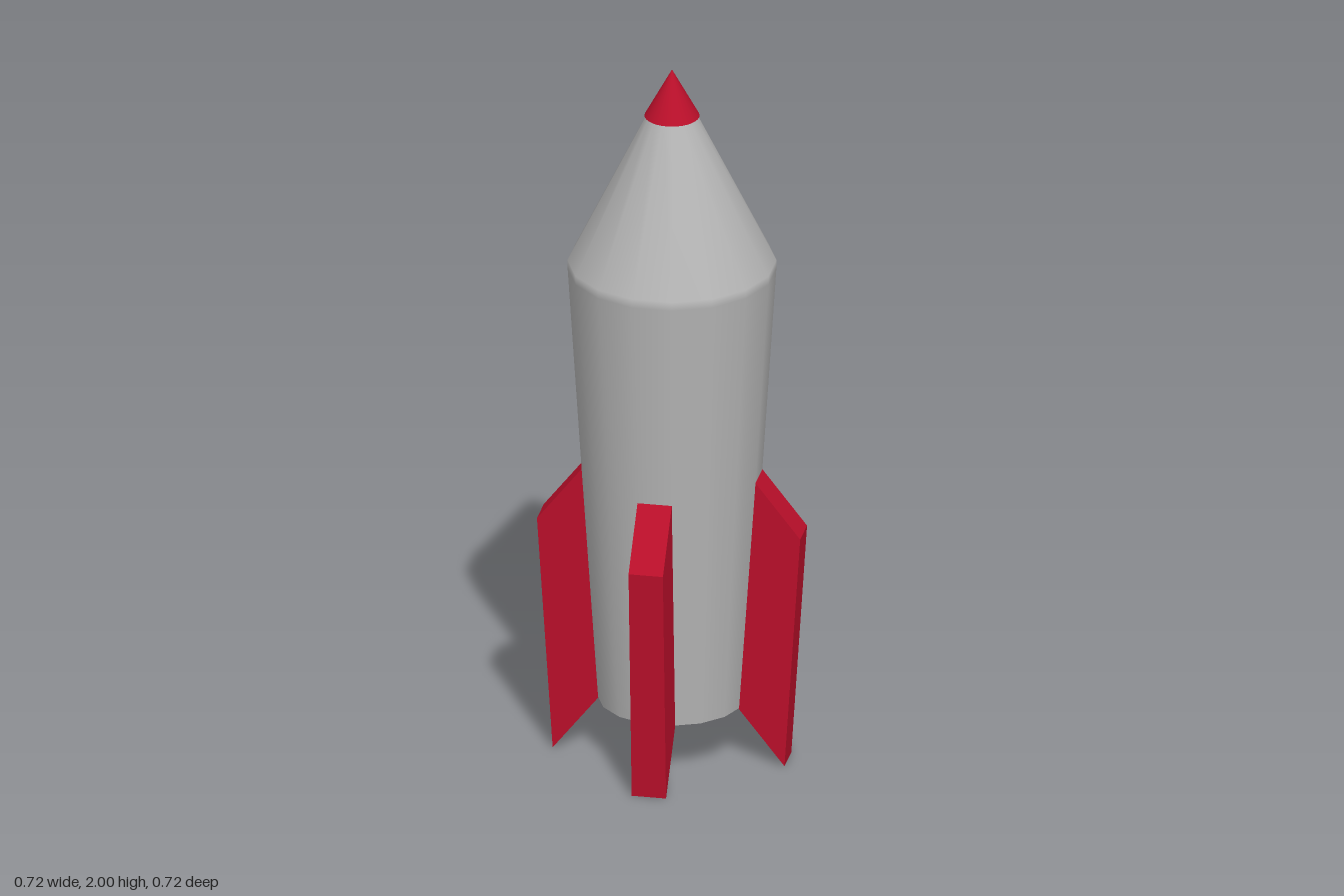
import * as THREE from 'three';

const grey = new THREE.MeshStandardMaterial({ color: 0xb4b4b4 });
grey.name = 'hull grey';
const red = new THREE.MeshStandardMaterial({ color: 0xba0f2a });
red.name = 'fin red';

const SIDES = 16;

function lathe(name, profile, sides, material) {
  const points = profile.map(([r, y]) => new THREE.Vector2(r, y));
  const mesh = new THREE.Mesh(new THREE.LatheGeometry(points, sides), material);
  mesh.name = name;
  return mesh;
}

export function createModel() {
  const rocket = new THREE.Group();
  rocket.name = 'rocket';

  // Hull widening upwards, a narrow shoulder band, then the nose cone
  rocket.add(lathe('hull', [[0.2, 0.16], [0.28, 1.415], [0.28, 1.44], [0.066, 1.87]], SIDES, grey));

  // Tapered underside and shallow recessed exhaust
  rocket.add(lathe('underside', [[0.1, 0.117], [0.2, 0.16]], SIDES, grey));
  rocket.add(lathe('exhaust', [[0, 0.14], [0.1, 0.117]], SIDES, grey));

  // Nose tip
  const tip = new THREE.Mesh(new THREE.ConeGeometry(0.074, 0.135, 32), red);
  tip.name = 'noseTip';
  tip.position.y = 1.9325;
  rocket.add(tip);

  // Four slanted fins, each centred on one flat of the hull
  const width = 0.094;
  const outline = new THREE.Shape([
    [0.317, 0], [0.36, 0.67], [0.23, 0.835], [0.19, 0.16],
  ].map(([r, y]) => new THREE.Vector2(r, y)));
  const finGeometry = new THREE.ExtrudeGeometry(outline, { depth: width, bevelEnabled: false });
  finGeometry.translate(0, 0, -width / 2);
  for (let i = 0; i < 4; i++) {
    const fin = new THREE.Mesh(finGeometry, red);
    fin.name = `fin${i + 1}`;
    fin.rotation.y = -Math.PI / SIDES - (i * Math.PI) / 2;
    rocket.add(fin);
  }
  return rocket;
}
